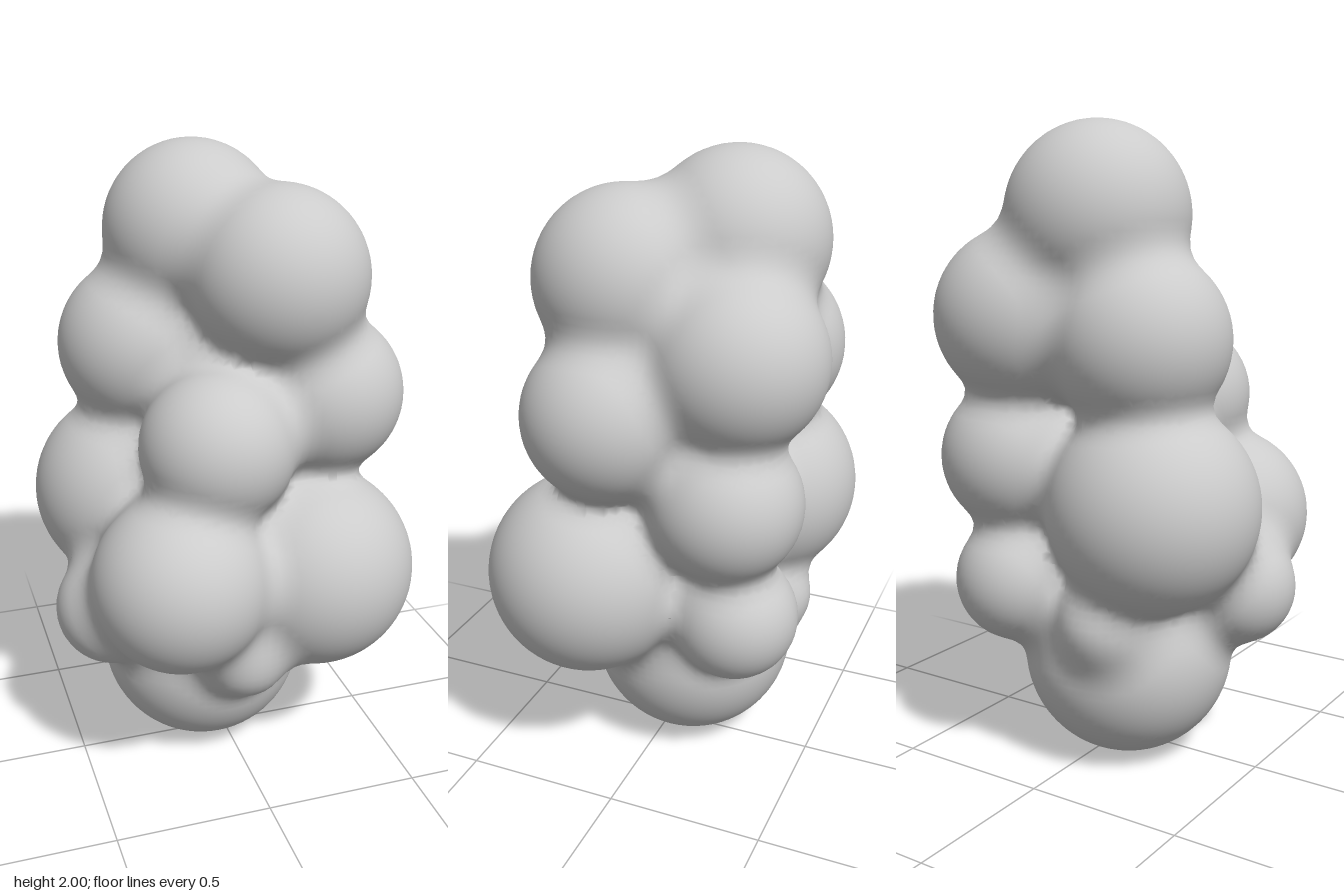
import * as THREE from 'three';

// Lobes of the cluster: x, y, z, radius
const LOBES = [
  [-0.04, 1.72, -0.20, 0.28], [0.15, 1.62, 0.08, 0.28],    // crown
  [-0.20, 1.36, -0.22, 0.275], [0.18, 1.42, -0.28, 0.275], // upper back
  [0.30, 1.24, 0.08, 0.26], [-0.08, 1.14, 0.20, 0.24],     // upper front
  [-0.25, 0.86, -0.22, 0.325], [0.22, 0.98, -0.27, 0.24],  // middle back
  [-0.22, 0.74, 0.275, 0.28], [0.25, 0.68, 0.175, 0.325],  // middle front
  [0.20, 0.59, -0.30, 0.20], [-0.39, 0.57, 0.06, 0.185],   // small side buds
  [-0.02, 0.46, 0.28, 0.145], [-0.13, 0.50, -0.32, 0.13],  // small front and back buds
  [-0.06, 0.335, -0.06, 0.335],                            // base
  [0, 0.85, -0.02, 0.24], [0, 1.3, -0.05, 0.2],            // hidden core
];
const BLEND = 0.09;

// Smoothly blended distance to all lobes
function field(x, y, z) {
  let d = 10;
  for (const [cx, cy, cz, r] of LOBES) {
    const e = Math.hypot(x - cx, y - cy, z - cz) - r;
    const h = Math.max(BLEND - Math.abs(d - e), 0) / BLEND;
    d = Math.min(d, e) - h * h * BLEND * 0.25;
  }
  return d;
}

function gradient(p) {
  const e = 0.004;
  return new THREE.Vector3(
    field(p.x + e, p.y, p.z) - field(p.x - e, p.y, p.z),
    field(p.x, p.y + e, p.z) - field(p.x, p.y - e, p.z),
    field(p.x, p.y, p.z + e) - field(p.x, p.y, p.z - e)).normalize();
}

// Skin the field: one vertex per crossed cell, one quad per crossed grid edge
function skinGeometry() {
  const s = 0.027, n = [48, 80, 48], o = [-0.64, -0.06, -0.64];
  const stride = [1, n[0], n[0] * n[1]];
  const id = (i, j, k) => i + j * stride[1] + k * stride[2];
  const values = new Float32Array(n[0] * n[1] * n[2]);
  const each = (from, margin, fn) => {
    for (let k = from; k < n[2] - margin; k++)
      for (let j = from; j < n[1] - margin; j++)
        for (let i = from; i < n[0] - margin; i++) fn(i, j, k, id(i, j, k));
  };
  each(0, 0, (i, j, k, c) => {
    values[c] = field(o[0] + i * s, o[1] + j * s, o[2] + k * s);
  });

  const vertexOf = new Int32Array(values.length).fill(-1);
  const positions = [], normals = [], index = [];
  each(0, 1, (i, j, k, c) => {
    let inside = 0;
    for (let m = 0; m < 8; m++) {
      if (values[c + (m & 1) + ((m >> 1) & 1) * stride[1] + (m >> 2) * stride[2]] < 0) inside++;
    }
    if (inside === 0 || inside === 8) return;
    const p = new THREE.Vector3(
      o[0] + (i + 0.5) * s, o[1] + (j + 0.5) * s, o[2] + (k + 0.5) * s);
    for (let t = 0; t < 4; t++) {
      p.addScaledVector(gradient(p), -field(p.x, p.y, p.z) * 0.9);
    }
    vertexOf[c] = positions.length / 3;
    positions.push(p.x, p.y, p.z);
    normals.push(...gradient(p).toArray());
  });

  each(1, 1, (i, j, k, c) => {
    for (let a = 0; a < 3; a++) {
      const inA = values[c] < 0, inB = values[c + stride[a]] < 0;
      if (inA === inB) continue;
      const u = stride[(a + 1) % 3], v = stride[(a + 2) % 3];
      const q = [c - u - v, c - v, c, c - u].map((cell) => vertexOf[cell]);
      if (!inA) q.reverse();
      index.push(q[0], q[1], q[2], q[0], q[2], q[3]);
    }
  });

  const geometry = new THREE.BufferGeometry();
  geometry.setAttribute('position', new THREE.Float32BufferAttribute(positions, 3));
  geometry.setAttribute('normal', new THREE.Float32BufferAttribute(normals, 3));
  geometry.setIndex(index);
  return geometry;
}

export function createModel() {
  const group = new THREE.Group();
  group.name = 'lobedCluster';
  const skin = new THREE.Mesh(
    skinGeometry(), new THREE.MeshStandardMaterial({ color: 0xcccccc }));
  skin.name = 'blendedLobes';
  group.add(skin);
  return group;
}
